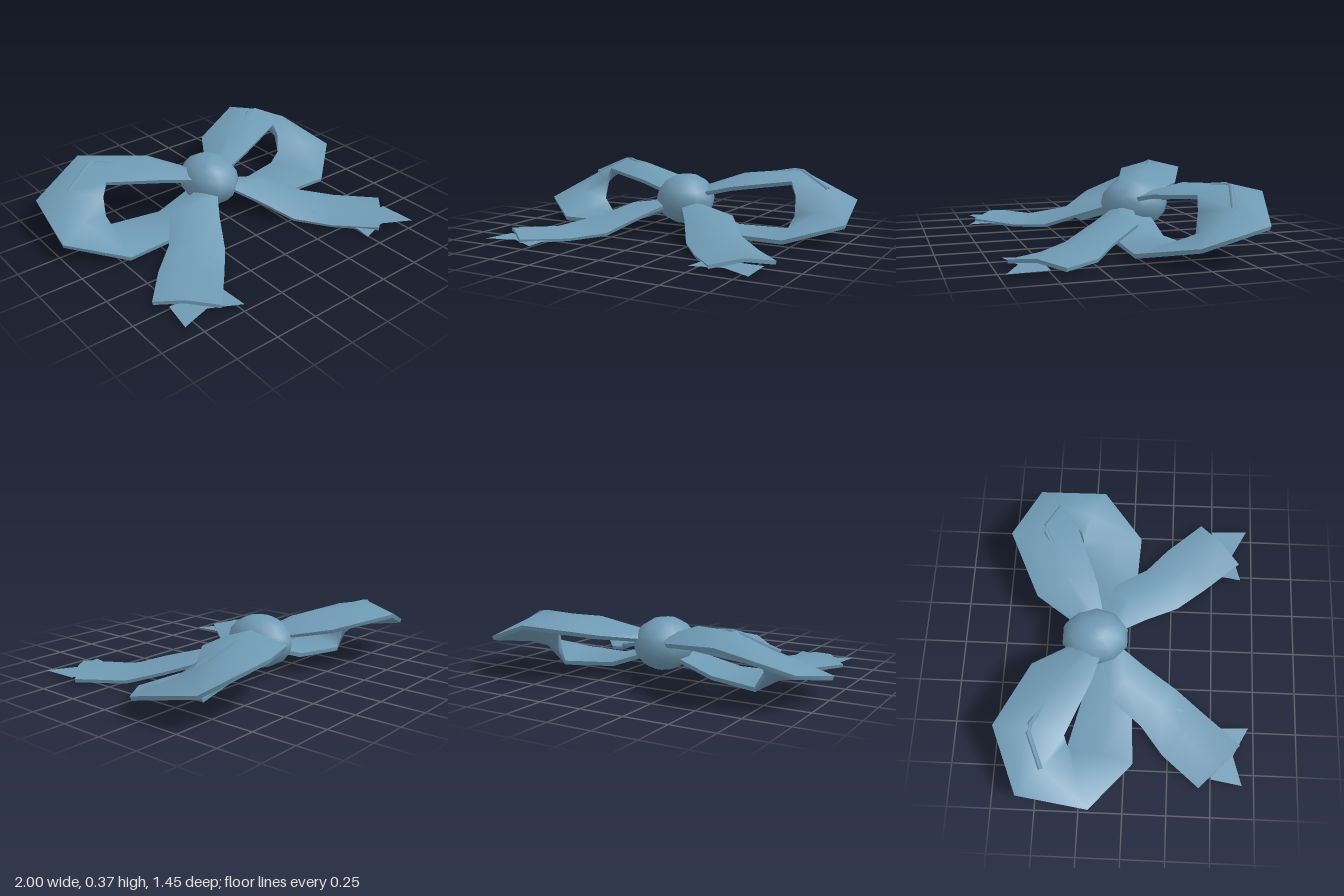
import * as THREE from 'three';
import { mergeGeometries } from 'three/addons/utils/BufferGeometryUtils.js';

const ribbonBlue = new THREE.MeshStandardMaterial({ color: 0x6f9ab4, side: THREE.DoubleSide });
ribbonBlue.name = 'ribbonBlue';

// Smooth grid surface through rows of Vector3
function grid(rows) {
  const n = rows[0].length;
  const index = [];
  for (let i = 0; i < rows.length - 1; i++) {
    for (let j = 0; j < n - 1; j++) {
      const a = i * n + j, b = a + 1, c = a + n, d = c + 1;
      index.push(a, b, c, b, d, c);
    }
  }
  const geometry = new THREE.BufferGeometry().setFromPoints(rows.flat());
  geometry.setIndex(index);
  geometry.computeVertexNormals();
  return geometry;
}

// Ribbon with thickness: outer face, inner face, two rims and two end caps
function ribbon(stations, thickness) {
  const top = stations.map((row) => row.map((p) => new THREE.Vector3(...p)));
  const face = grid(top);
  const normals = face.attributes.normal;
  const n = top[0].length;
  const under = top.map((row, i) => row.map((p, j) => {
    const q = new THREE.Vector3().fromBufferAttribute(normals, i * n + j).multiplyScalar(-thickness).add(p);
    q.y = Math.max(q.y, 0.005);
    return q;
  }));
  const last = top.length - 1;
  return mergeGeometries([
    face,
    grid(under.map((row) => [...row].reverse())),
    grid(top.map((row, i) => [under[i][0], row[0]])),
    grid(top.map((row, i) => [row[n - 1], under[i][n - 1]])),
    grid([under[0], top[0]]),
    grid([top[last], under[last]]),
  ]);
}

// Loop sections: outer rim, crest, rim of the opening
const loopSections = [
  [[0.05, 0.22, -0.30], [0.05, 0.25, -0.22], [0.05, 0.22, -0.14]],
  [[0.21, 0.27, -0.55], [0.31, 0.345, -0.38], [0.30, 0.28, -0.20]],
  [[0.59, 0.32, -0.73], [0.61, 0.37, -0.53], [0.63, 0.32, -0.33]],
  [[0.95, 0.20, -0.59], [0.81, 0.27, -0.45], [0.66, 0.24, -0.32]],
  [[1.00, 0.12, -0.19], [0.82, 0.16, -0.27], [0.66, 0.12, -0.31]],
  [[0.72, 0.05, 0.05], [0.68, 0.07, -0.13], [0.62, 0.04, -0.33]],
  [[0.37, 0.05, 0.03], [0.36, 0.08, -0.10], [0.33, 0.05, -0.26]],
  [[0.05, 0.17, -0.12], [0.05, 0.17, -0.19], [0.05, 0.15, -0.26]],
];

// Tail sections: outer edge, crest, inner edge
const tailSections = [
  [[0.14, 0.17, -0.15], [0.10, 0.19, -0.10], [0.05, 0.17, -0.05]],
  [[0.36, 0.13, -0.10], [0.26, 0.17, -0.02], [0.15, 0.11, 0.10]],
  [[0.50, 0.06, 0.09], [0.38, 0.11, 0.19], [0.26, 0.035, 0.29]],
  [[0.66, 0.025, 0.22], [0.53, 0.06, 0.34], [0.40, 0.02, 0.46]],
  [[0.84, 0.035, 0.43], [0.72, 0.06, 0.55], [0.58, 0.035, 0.67]],
];

export function createModel() {
  const model = new THREE.Group();
  model.name = 'ribbonBow';
  const add = (parent, name, geometry) => {
    const mesh = new THREE.Mesh(geometry, ribbonBlue);
    mesh.name = name;
    parent.add(mesh);
    return mesh;
  };

  // Central knot
  const knot = new THREE.SphereGeometry(1, 10, 8);
  knot.scale(0.17, 0.152, 0.2);
  add(model, 'knot', knot).position.set(0, 0.19, -0.2);

  const loop = ribbon(loopSections, 0.025);
  const tail = ribbon(tailSections, 0.02);

  // Raised fold running along the top of each loop
  const foldPath = new THREE.CurvePath();
  const foldPoints = [[0.26, 0.31, -0.34], [0.61, 0.365, -0.53], [0.81, 0.27, -0.45]].map((p) => new THREE.Vector3(...p));
  foldPath.add(new THREE.LineCurve3(foldPoints[0], foldPoints[1]));
  foldPath.add(new THREE.LineCurve3(foldPoints[1], foldPoints[2]));
  const fold = new THREE.TubeGeometry(foldPath, 12, 0.015, 5);

  // Flat forked ribbon end
  const forkShape = new THREE.Shape(
    [[-0.17, -0.68], [-0.14, -0.5], [0.16, -0.5], [0.17, -0.72], [0, -0.63]].map(([x, y]) => new THREE.Vector2(x, y)),
  );
  const fork = new THREE.ShapeGeometry(forkShape).rotateX(-Math.PI / 2);

  for (const [name, side] of [['left', 1], ['right', -1]]) {
    const half = new THREE.Group();
    half.name = name + 'Half';
    half.scale.x = side;
    add(half, name + 'Loop', loop);
    add(half, name + 'LoopFold', fold);
    add(half, name + 'Tail', tail);
    model.add(half);
    add(model, name + 'TailFork', fork).position.set(side * 0.645, 0.02, 0);
  }
  return model;
}
